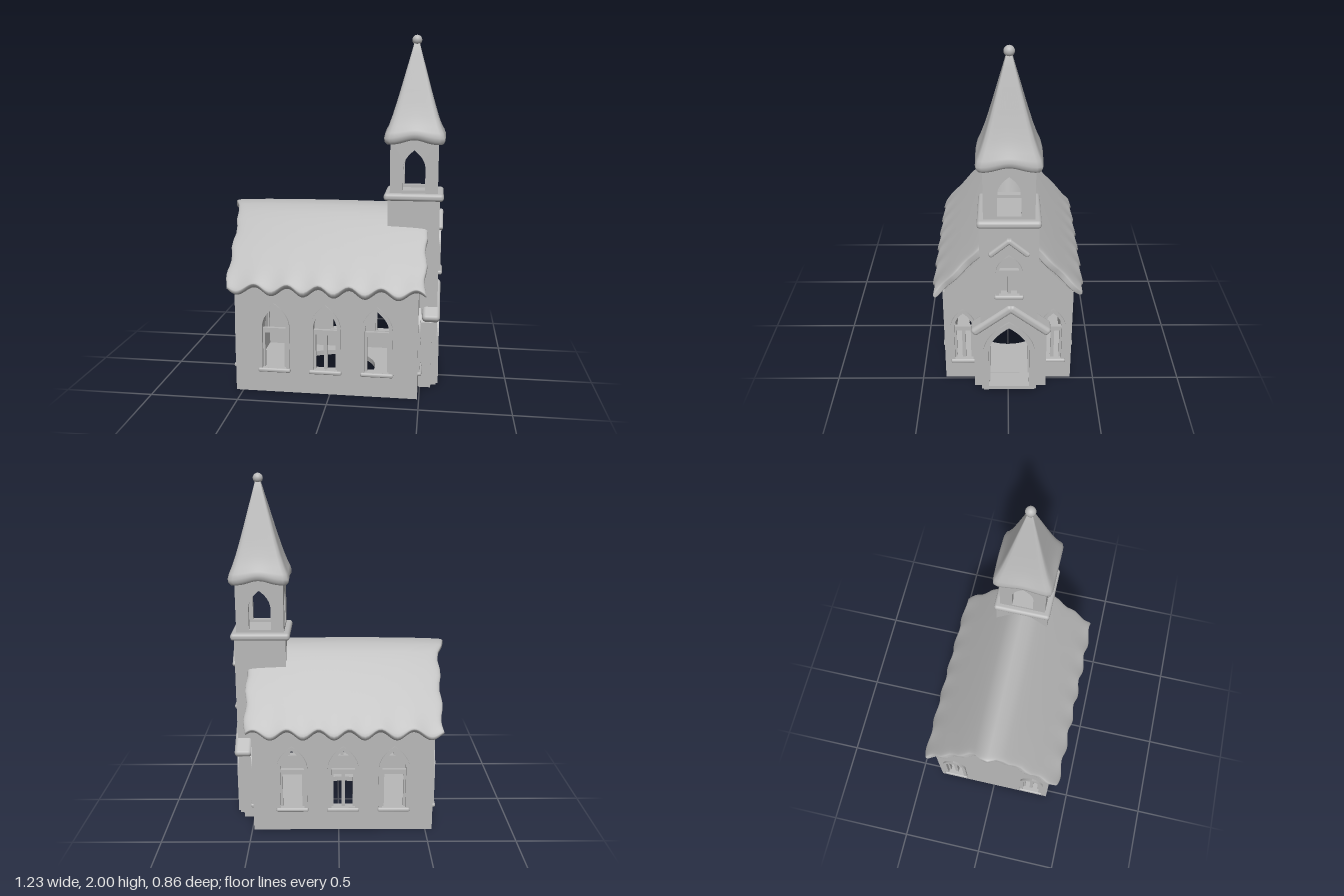
import * as THREE from 'three';
import { mergeVertices } from 'three/addons/utils/BufferGeometryUtils.js';
import { RoundedBoxGeometry } from 'three/addons/geometries/RoundedBoxGeometry.js';

const stone = new THREE.MeshStandardMaterial({ color: 0xb8b8b8 });
stone.name = 'plain stone';

function add(parent, name, geometry, x = 0, y = 0, z = 0) {
  const mesh = new THREE.Mesh(geometry, stone);
  mesh.name = name;
  mesh.position.set(x, y, z);
  parent.add(mesh);
  return mesh;
}

// Pointed arch outline: centre, width, sill, spring line and apex
function arch(Type, cx, w, y0, ys, ya) {
  const p = new Type(), h = w / 2, yc = ys + (ya - ys) * 0.55;
  p.moveTo(cx - h, y0);
  p.lineTo(cx + h, y0);
  p.lineTo(cx + h, ys);
  p.quadraticCurveTo(cx + h, yc, cx, ya);
  p.quadraticCurveTo(cx - h, yc, cx - h, ys);
  p.closePath();
  return p;
}

const polygon = pts => new THREE.Shape(pts.map(p => new THREE.Vector2(p[0], p[1])));
const rect = (x0, x1, y0, y1) => polygon([[x0, y0], [x1, y0], [x1, y1], [x0, y1]]);
const extrude = (shape, depth) =>
  new THREE.ExtrudeGeometry(shape, { depth, bevelEnabled: false, curveSegments: 10 });

// Wall whose outer face lies on its group's z = 0, with arched openings, frames and glazing bars
function wall(parent, name, shape, openings, depth, pos, turn) {
  const g = new THREE.Group();
  g.name = name;
  g.position.set(...pos);
  g.rotation.y = turn;
  parent.add(g);
  for (const o of openings) {
    const { cx = 0, w, y0, ys, ya, rim = 0, bars = false, mullion = false } = o;
    shape.holes.push(arch(THREE.Path, cx, w, y0, ys, ya));
    if (rim) {
      const ring = arch(THREE.Shape, cx, w + rim * 2, y0 - rim * 0.8, ys, ya + rim * 1.2);
      ring.holes.push(arch(THREE.Path, cx, w, y0, ys, ya));
      add(g, 'archFrame', extrude(ring, 0.012));
    }
    if (bars) {
      const lower = (ys - y0) * 0.84;
      add(g, 'sill', new RoundedBoxGeometry(w + 0.05, 0.024, 0.03, 2, 0.01), cx, y0 - 0.012, 0.006);
      add(g, 'transom', new THREE.BoxGeometry(w, 0.028, 0.022), cx, y0 + lower + 0.014, -depth / 2);
      for (const s of [-1, 1])
        add(g, 'sash', new THREE.BoxGeometry(0.012, lower, 0.022), cx + s * (w / 2 - 0.006), y0 + lower / 2, -depth / 2);
      if (mullion) add(g, 'mullion', new THREE.BoxGeometry(0.02, lower, 0.022), cx, y0 + lower / 2, -depth / 2);
    }
  }
  add(g, name + 'Panel', extrude(shape, depth), 0, 0, -depth);
  return g;
}

// Thick blanket roof with rolled, scalloped edges
function roofGeometry() {
  const nx = 90, nk = 72, pos = [], idx = [];
  for (let i = 0; i <= nx; i++) {
    const phi = Math.PI * (1 - i / nx), u = Math.cos(phi);
    const endFade = Math.pow(Math.max(0, Math.sin(phi)), 0.35);
    for (let k = 0; k < nk; k++) {
      const th = 2 * Math.PI * k / nk, s = Math.cos(th), sn = Math.sin(th);
      const edge = Math.pow(Math.abs(s), 10), end = Math.pow(Math.abs(u), 14);
      // gable ends wander a little and reach further at the ridge
      const ripple = 0.007 * Math.sin(s * 20);
      const left = -0.578 - 0.035 * Math.exp(-s * s * 90) + ripple;
      const right = 0.525 + ripple;
      const x = (left + right) / 2 + u * (right - left) / 2;
      const wave = Math.sin(x * 34 + 0.6 + Math.sin(x * 5) * 0.6);
      const z = s * (0.408 + 0.009 * wave * edge);
      const r = Math.sqrt(z * z + 0.0016);
      const yc = 1.02 - 1.12 * (r - 0.04) - 0.012 * wave * edge;
      const slope = -1.12 * z / r, len = Math.hypot(1, slope);
      const h = 0.036 * (1 + 0.25 * edge + 0.2 * end) * endFade *
        Math.sign(sn) * Math.pow(Math.abs(sn), 0.35);
      pos.push(x, yc + h / len, z - h * slope / len);
    }
  }
  for (let i = 0; i < nx; i++) for (let k = 0; k < nk; k++) {
    const k2 = (k + 1) % nk, a = i * nk + k, b = a + nk, c = i * nk + k2, d = c + nk;
    idx.push(a, b, c, b, d, c);
  }
  let g = new THREE.BufferGeometry();
  g.setAttribute('position', new THREE.Float32BufferAttribute(pos, 3));
  g.setIndex(idx);
  g = mergeVertices(g, 1e-5);
  g.computeVertexNormals();
  return g;
}

// Four-sided flared spire: a lathe squared off, with drooping corners
function spireGeometry() {
  const profile = [[0, 1.425], [0.12, 1.425], [0.145, 1.41], [0.158, 1.412], [0.168, 1.425], [0.171, 1.445],
    [0.163, 1.47], [0.148, 1.5], [0.126, 1.56], [0.105, 1.63], [0.085, 1.70], [0.055, 1.81], [0.03, 1.90], [0.014, 1.96], [0, 1.965]];
  let g = new THREE.LatheGeometry(profile.map(p => new THREE.Vector2(p[0], p[1])), 64);
  const p = g.attributes.position;
  for (let i = 0; i < p.count; i++) {
    const x = p.getX(i), y = p.getY(i), z = p.getZ(i);
    const a = Math.atan2(z, x), c = Math.abs(Math.cos(a)), s = Math.abs(Math.sin(a));
    const f = Math.pow(Math.pow(c, 14) + Math.pow(s, 14), -1 / 14);
    const low = THREE.MathUtils.clamp((1.52 - y) / 0.08, 0, 1) * Math.min(1, Math.hypot(x, z) / 0.12);
    p.setXYZ(i, x * f, y + 0.013 * Math.cos(4 * a) * low, z * f);
  }
  g.deleteAttribute('uv');
  g.deleteAttribute('normal');
  g = mergeVertices(g, 1e-5);
  g.computeVertexNormals();
  return g;
}

// Pair of rounded bars meeting at a peak, running across z
function chevron(parent, name, x, peak, cz, halfSpan, drop, thick, deep) {
  const len = Math.hypot(halfSpan, drop);
  for (const s of [-1, 1]) {
    const bar = add(parent, name, new RoundedBoxGeometry(deep, thick, len + thick * 0.5, 4, Math.min(thick, deep) * 0.42),
      x, peak - drop / 2, cz + s * halfSpan / 2);
    bar.rotation.x = s * Math.atan2(drop, halfSpan);
  }
}

export function createModel() {
  const model = new THREE.Group();
  model.name = 'church';
  const Q = Math.PI / 2, cz = -0.005, tx = 0.445;

  // Nave side walls, three windows each
  const tall = { w: 0.135, y0: 0.145, ys: 0.385, ya: 0.5, rim: 0.02, bars: true };
  for (const s of [1, -1])
    wall(model, 'naveSideWall', rect(-0.515, 0.515, 0, 0.61),
      [-0.29, 0, 0.29].map(cx => ({ ...tall, cx, mullion: cx === 0 })), 0.04, [-0.025, 0, s * 0.365], s > 0 ? 0 : Math.PI);

  // Nave gable ends
  const gable = () => polygon([[-0.364, 0], [0.364, 0], [0.364, 0.6], [0, 0.99], [-0.364, 0.6]]);
  const ends = [-0.255, 0.255].map(cx => ({ ...tall, cx, w: 0.105, ya: 0.47, ys: 0.37, mullion: true }));
  const door = { w: 0.23, y0: 0.03, ys: 0.27, ya: 0.445 };
  wall(model, 'rearGable', gable(), ends, 0.04, [-0.54, 0, 0], -Q);
  wall(model, 'entranceGable', gable(), [...ends, door], 0.04, [0.49, 0, 0], Q);

  // Floor with round opening
  const floor = rect(-0.505, 0.505, -0.355, 0.355);
  floor.holes.push(new THREE.Path().absarc(0, 0, 0.25, 0, Math.PI * 2, true));
  const slab = new THREE.ExtrudeGeometry(floor, { depth: 0.03, bevelEnabled: false, curveSegments: 32 });
  add(model, 'floor', slab.rotateX(-Q), -0.025, 0, 0);
  add(model, 'porchFloor', new THREE.BoxGeometry(0.1, 0.029, 0.3), 0.54, 0.0145, cz);

  add(model, 'roof', roofGeometry());

  // Porch shoulders and gabled hood
  wall(model, 'porch', polygon([[-0.205, 0], [0.205, 0], [0.205, 0.39], [0, 0.555], [-0.205, 0.39]]),
    [door], 0.07, [0.562, 0, -0.012], Q);
  chevron(model, 'porchHood', 0.557, 0.57, -0.015, 0.205, 0.16, 0.05, 0.1);

  // Tower shaft
  wall(model, 'towerFront', rect(-0.155, 0.155, 0, 1.09),
    [{ ...door, rim: 0.03 }, { w: 0.11, y0: 0.665, ys: 0.81, ya: 0.895, rim: 0.016, bars: true, mullion: true }],
    0.035, [0.592, 0, cz], Q);
  for (const s of [-1, 1])
    add(model, 'towerSide', extrude(polygon([[0.3, 0.8], [0.49, 0.8], [0.49, 0], [0.59, 0], [0.59, 1.09], [0.3, 1.09]]), 0.03),
      0, 0, cz + s * 0.142 - 0.015);
  add(model, 'towerBack', new THREE.BoxGeometry(0.03, 0.29, 0.3), 0.315, 0.945, cz);
  chevron(model, 'towerMoulding', 0.596, 1.005, cz, 0.1, 0.085, 0.03, 0.034);
  add(model, 'cornice', new RoundedBoxGeometry(0.336, 0.042, 0.336, 4, 0.018), tx, 1.102, cz);

  // Open belfry
  for (let i = 0; i < 4; i++) {
    const a = i * Q, half = i % 2 ? 0.1345 : 0.135;
    wall(model, 'belfryWall', rect(-half, half, 1.11, 1.43), [{ w: 0.125, y0: 1.14, ys: 1.26, ya: 1.365 }],
      0.035, [tx + Math.sin(a) * 0.135, 0, cz + Math.cos(a) * 0.135], a);
  }

  add(model, 'spire', spireGeometry(), tx, 0, cz);
  add(model, 'finial', new THREE.SphereGeometry(0.028, 24, 16), tx, 1.972, cz);
  return model;
}
